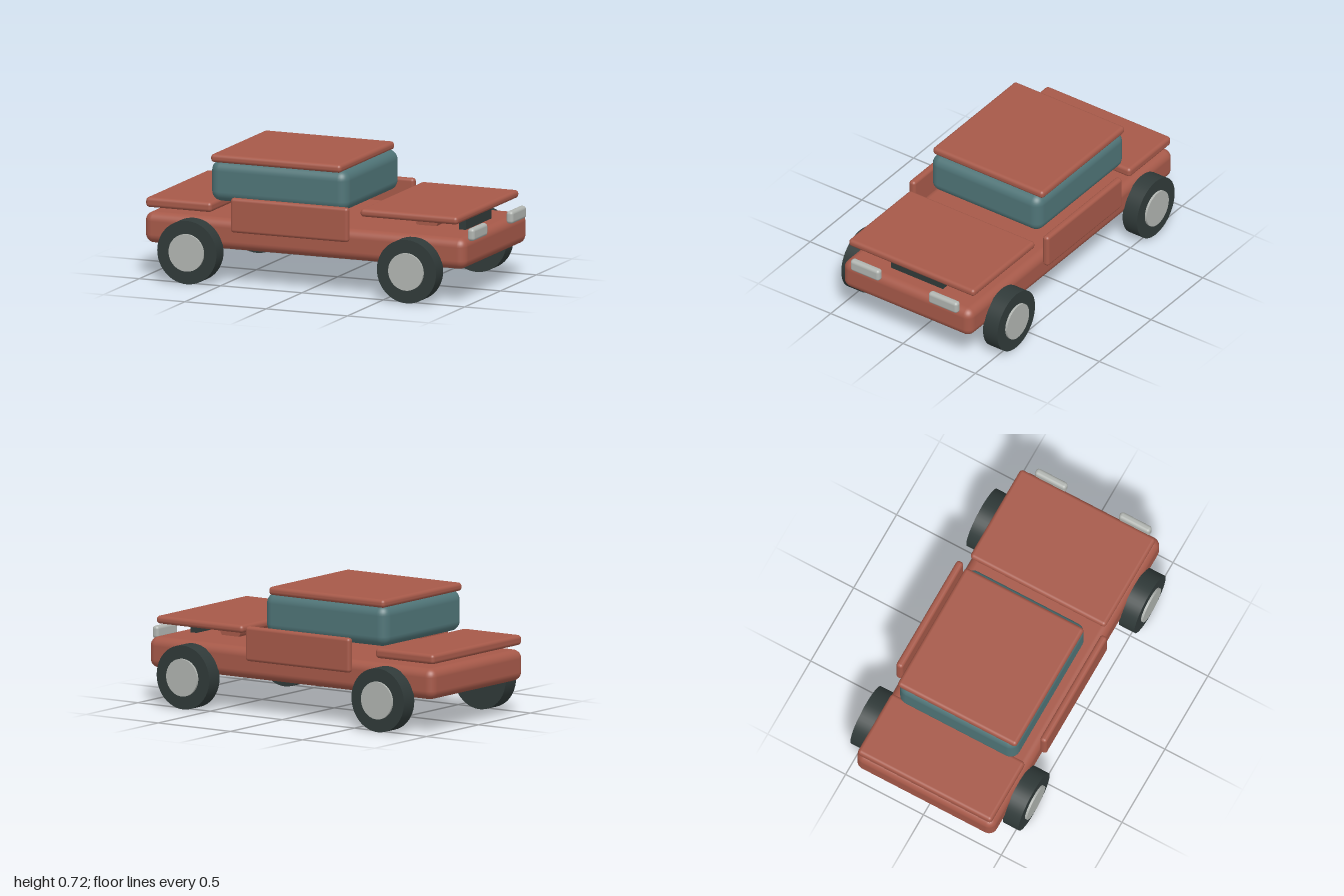
import * as THREE from 'three';
import { RoundedBoxGeometry } from 'three/addons/geometries/RoundedBoxGeometry.js';

function material(name, color) {
  const m = new THREE.MeshStandardMaterial({ color });
  m.name = name;
  return m;
}

export function createModel() {
  const car = new THREE.Group();
  car.name = 'car';
  const paint = material('red paint', 0xa65949);
  const rubber = material('dark rubber', 0x303a39);
  const glass = material('teal glass', 0x4f7477);
  const metal = material('pale metal', 0xb0b4b0);

  function add(name, geometry, mat, x, y, z, parent = car) {
    const mesh = new THREE.Mesh(geometry, mat);
    mesh.name = name;
    mesh.position.set(x, y, z);
    parent.add(mesh);
    return mesh;
  }

  // Rounded block given by its limits on each axis
  function block(name, mat, [x0, x1], [y0, y1], [z0, z1], radius) {
    const geometry = new RoundedBoxGeometry(x1 - x0, y1 - y0, z1 - z0, 4, radius);
    return add(name, geometry, mat, (x0 + x1) / 2, (y0 + y1) / 2, (z0 + z1) / 2);
  }

  // Cylinder lying along z
  function disc(name, mat, radius, length, x, y, z, parent) {
    const geometry = new THREE.CylinderGeometry(radius, radius, length, 48).rotateX(Math.PI / 2);
    return add(name, geometry, mat, x, y, z, parent);
  }

  // Body and raised panels
  block('body', paint, [-1, 0.975], [0.195, 0.372], [-0.445, 0.445], 0.05);
  block('hood', paint, [0.325, 0.925], [0.45, 0.495], [-0.435, 0.435], 0.02);
  block('trunkLid', paint, [-0.995, -0.59], [0.398, 0.455], [-0.43, 0.43], 0.02);

  // Cabin and roof
  block('cabin', glass, [-0.625, 0.22], [0.452, 0.686], [-0.38, 0.38], 0.058);
  block('roof', paint, [-0.617, 0.185], [0.677, 0.724], [-0.382, 0.382], 0.02);

  // Engine drum and grille under the hood
  disc('engine', paint, 0.073, 0.3, 0.612, 0.415, 0);
  add('grille', new THREE.BoxGeometry(0.042, 0.1, 0.36), rubber, 0.845, 0.41, 0);

  for (const side of [1, -1]) {
    const label = side > 0 ? 'front' : 'back';
    const range = (a, b) => (side > 0 ? [a, b] : [-b, -a]);
    block(label + 'Door', paint, [-0.45, 0.273], [0.305, 0.503], range(0.441, 0.483), 0.018);
    block(label + 'Headlight', metal, [0.957, 1], [0.35, 0.422], range(0.17, 0.37), 0.018);

    // Wheels with hubs on the outer face
    for (const x of [-0.69, 0.66]) {
      const wheel = new THREE.Group();
      wheel.name = label + (x < 0 ? 'RearWheel' : 'ForeWheel');
      wheel.position.set(x, 0.182, side * 0.49);
      car.add(wheel);
      disc('tire', rubber, 0.182, 0.1, 0, 0, 0, wheel);
      disc('hub', metal, 0.107, 0.03, 0, 0, side * 0.048, wheel);
    }
  }
  return car;
}
